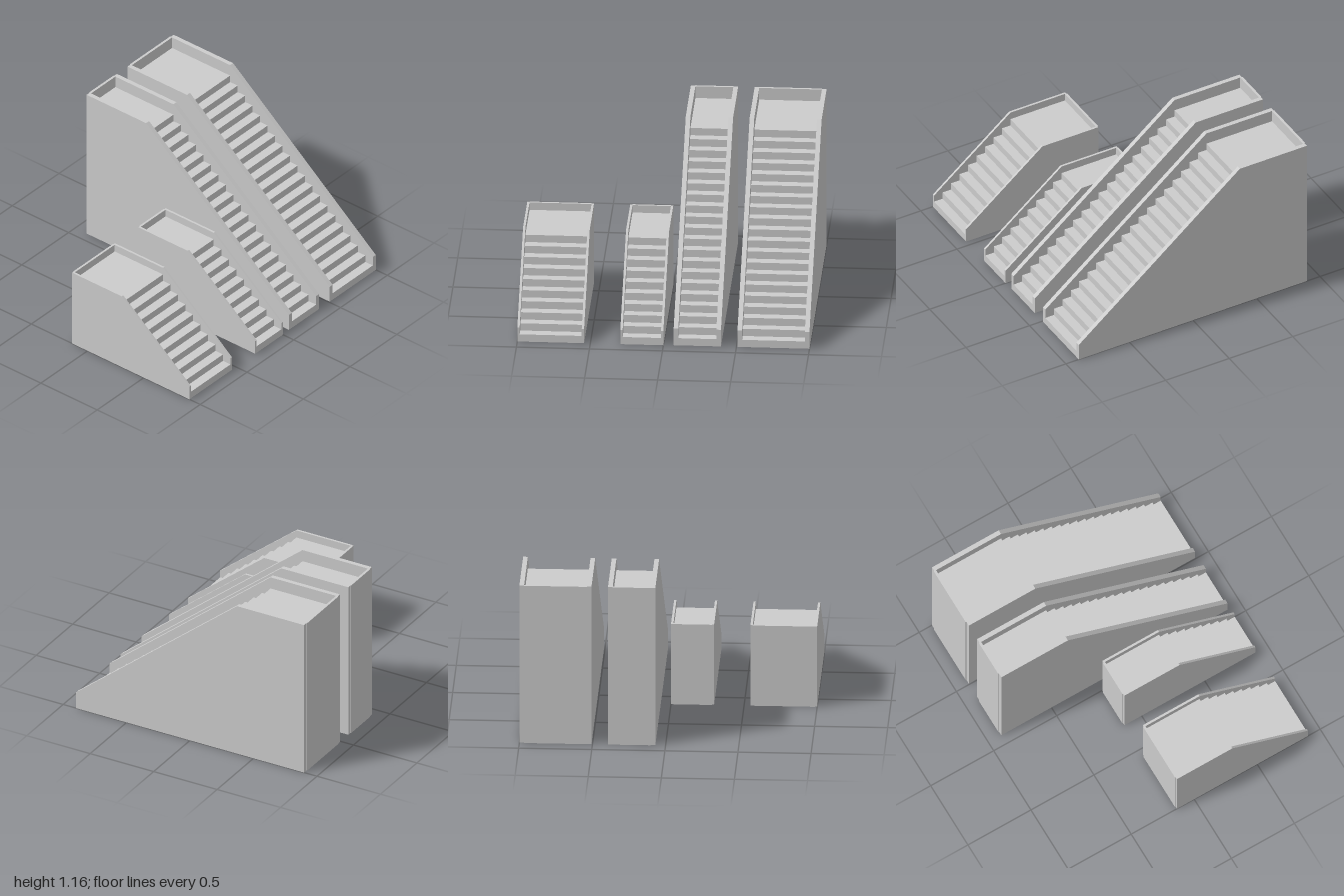
import * as THREE from 'three';

const RISE = 0.0535, RUN = 0.0667;
const solid = new THREE.MeshStandardMaterial({ color: 0xcccccc, flatShading: true });
const sheet = new THREE.MeshStandardMaterial({ color: 0xcccccc, flatShading: true, side: THREE.DoubleSide });

// Flat sheet following a [z, y] profile, spanning x0..x1
function ribbon(profile, x0, x1) {
  const v = [];
  for (let i = 0; i < profile.length - 1; i++) {
    const [z0, y0] = profile[i], [z1, y1] = profile[i + 1];
    v.push(x0, y0, z0, x1, y0, z0, x1, y1, z1, x0, y0, z0, x1, y1, z1, x0, y1, z1);
  }
  const g = new THREE.BufferGeometry();
  g.setAttribute('position', new THREE.Float32BufferAttribute(v, 3));
  g.computeVertexNormals();
  return g;
}

function staircase({ name, x0, x1, wall, steps, top, curb, front, back, backInner }) {
  const group = new THREE.Group();
  group.name = name;
  const add = (part, geometry, material) => {
    const mesh = new THREE.Mesh(geometry, material);
    mesh.name = part;
    group.add(mesh);
    return mesh;
  };
  const landing = front - (steps - 1) * RUN;
  const sideEnd = back + 0.005;

  // Side walls: sloped parapet outline, extruded across x
  const outline = [[front, 0], [front, curb], [landing, top], [sideEnd, top], [sideEnd, 0]];
  const shape = new THREE.Shape(outline.map(([z, y]) => new THREE.Vector2(-z, y)));
  for (const [part, x] of [['rightWall', x0], ['leftWall', x1 - wall]]) {
    const g = new THREE.ExtrudeGeometry(shape, { depth: wall, bevelEnabled: false });
    g.rotateY(Math.PI / 2);
    add(part, g, solid).position.x = x;
  }

  // Back wall between the sides, slightly proud of them
  const depth = backInner - back;
  add('backWall', new THREE.BoxGeometry(x1 - x0 - 2 * wall, top, depth), solid)
    .position.set((x0 + x1) / 2, top / 2, back + depth / 2);

  // Steps and landing, open underneath
  const profile = [[front, 0]];
  for (let i = 0; i < steps; i++) {
    const z = front - i * RUN, y = (i + 1) * RISE;
    profile.push([z, y], [i < steps - 1 ? z - RUN : backInner, y]);
  }
  add('stepsAndLanding', ribbon(profile, x0 + wall, x1 - wall), sheet);
  return group;
}

export function createModel() {
  const model = new THREE.Group();
  model.name = 'staircases';
  const low = { wall: 0.016, steps: 10, top: 0.59, curb: 0.105, front: 0.903, back: -0.142, backInner: -0.126 };
  const high = { wall: 0.032, steps: 20, top: 1.157, curb: 0.124, front: 0.898, back: -0.903, backInner: -0.885 };
  model.add(
    staircase({ name: 'lowWideStaircase', x0: -1, x1: -0.543, ...low }),
    staircase({ name: 'lowNarrowStaircase', x0: -0.295, x1: 0, ...low }),
    staircase({ name: 'highNarrowStaircase', x0: 0.07, x1: 0.394, ...high }),
    staircase({ name: 'highWideStaircase', x0: 0.507, x1: 1, ...high })
  );
  return model;
}
